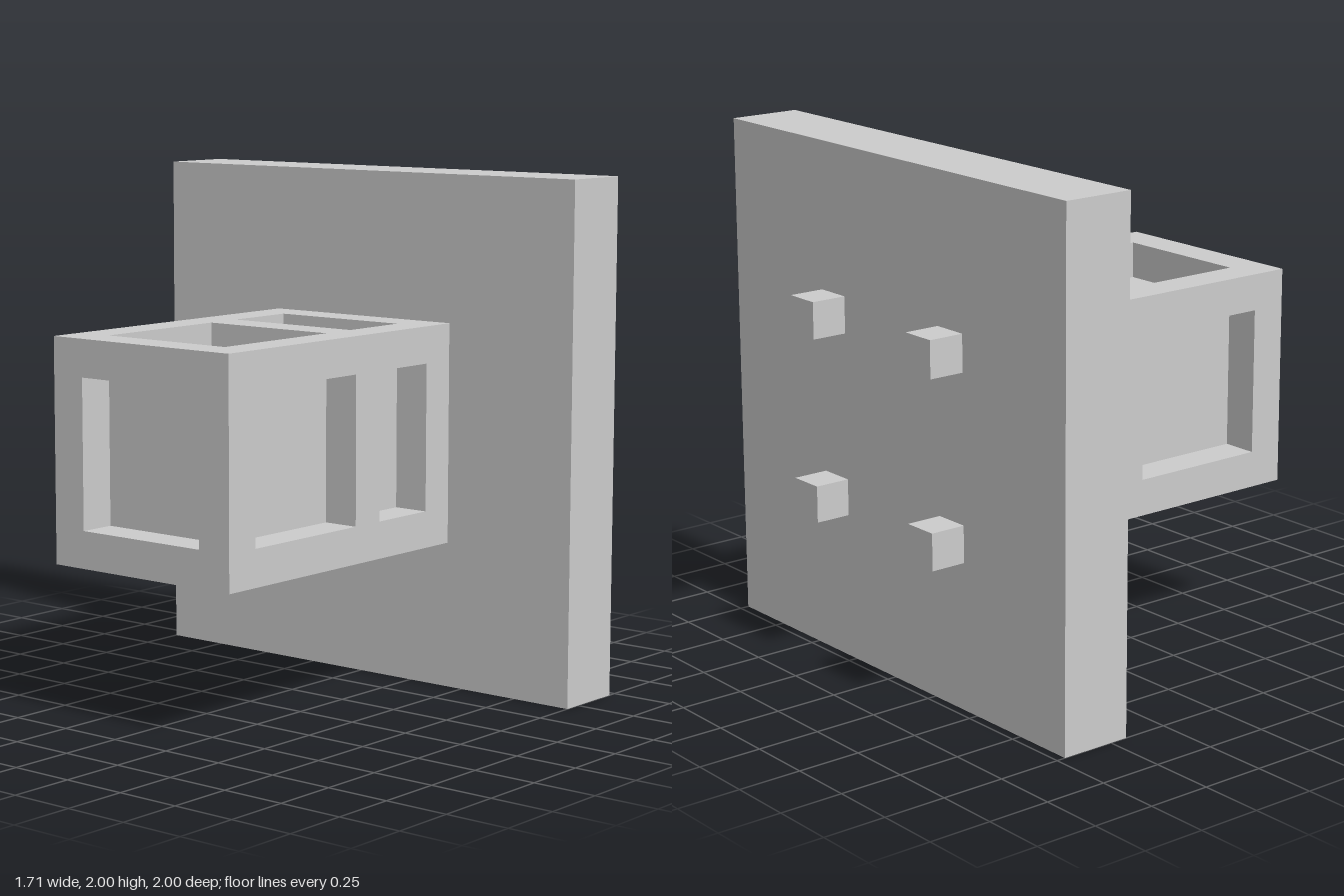
import * as THREE from 'three';

const U = 1 / 7; // grid unit: every part is a whole number of these

export function createModel() {
  const model = new THREE.Group();
  model.name = 'framedBlockOnPlate';
  const material = new THREE.MeshStandardMaterial({ color: 0xcccccc, flatShading: true });

  // Box given by its size and centre in grid units, y measured from mid-height
  function addBox(parent, name, [w, h, d], [x, y, z]) {
    const mesh = new THREE.Mesh(new THREE.BoxGeometry(w * U, h * U, d * U), material);
    mesh.position.set(x * U, (y + 7) * U, z * U);
    mesh.name = name;
    parent.add(mesh);
  }

  function addGroup(name) {
    const group = new THREE.Group();
    group.name = name;
    model.add(group);
    return group;
  }

  // Large square plate
  addBox(model, 'plate', [2, 14, 14], [4, 0, 0]);

  // Solid core: its faces are the floors of the recesses
  addBox(model, 'core', [8, 4, 4], [-1, 0, 0]);

  const frame = addGroup('frame');
  const pegs = addGroup('pegs');

  // Long corner rails, and one peg in line with each rail
  for (const y of [-2.5, 2.5]) {
    for (const z of [-2.5, 2.5]) {
      addBox(frame, 'cornerRail', [9, 1, 1], [-1.5, y, z]);
      addBox(pegs, 'peg', [1, 1, 1], [5.5, y, z]);
    }
  }

  // Three rings of cross bars between the rails: end, divider, plate side
  for (const x of [-5.5, -0.5, 2.5]) {
    for (const side of [-2.5, 2.5]) {
      addBox(frame, 'crossBar', [1, 1, 4], [x, side, 0]);
      addBox(frame, 'post', [1, 4, 1], [x, 0, side]);
    }
  }

  return model;
}
